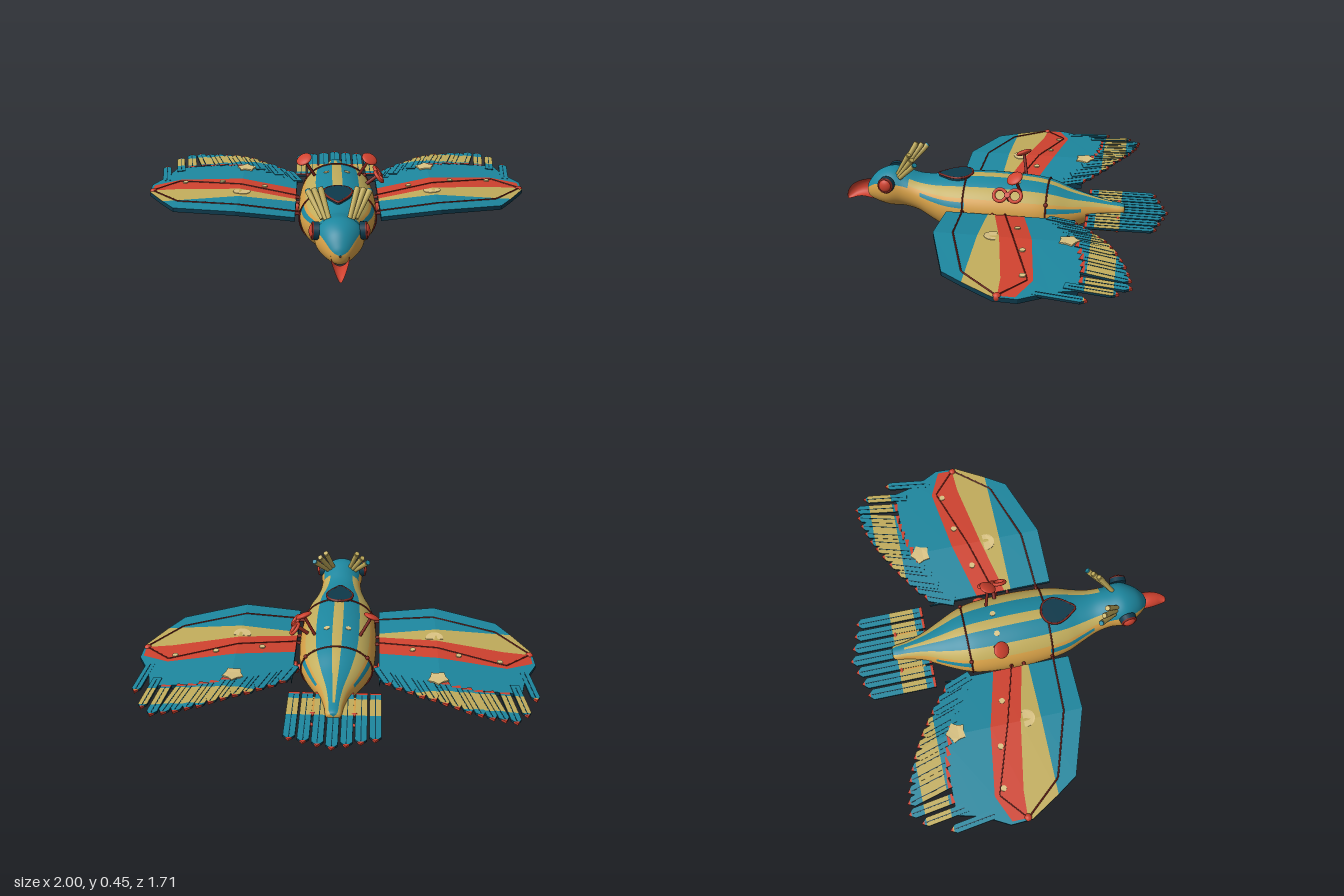
import * as THREE from 'three';

const mat = (name, color) => Object.assign(new THREE.MeshStandardMaterial({ color }), { name });
const TEAL = mat('teal paint', 0x1d879f), GOLD = mat('old gold paint', 0xc2ad5c), AMBER = mat('amber paint', 0xd6a047);
const RED = mat('red enamel', 0xd0422f), DARK = mat('dark red wire', 0x7d231c), NAVY = mat('dark glass', 0x0e3a4c);
const CREAM = mat('cream paint', 0xd9c282);

export function createModel() {
  const model = new THREE.Group();
  const V = (x, y, z) => new THREE.Vector3(x, y, z);
  const add = (name, geo, material, parent = model) => {
    const m = new THREE.Mesh(geo, material);
    m.name = name;
    parent.add(m);
    return m;
  };
  const cyl = (r1, r2, h, n = 20) => new THREE.CylinderGeometry(r1, r2, h, n);
  // group at p whose y axis points along dir
  const aimed = (name, p, dir) => {
    const g = new THREE.Group();
    g.name = name;
    g.position.copy(p);
    g.quaternion.setFromUnitVectors(V(0, 1, 0), dir.clone().normalize());
    model.add(g);
    return g;
  };
  const rod = (name, a, b, r, material, r2 = r) => {
    const g = aimed(name, a.clone().lerp(b, 0.5), b.clone().sub(a));
    return add(name, cyl(r2, r, a.distanceTo(b), 10), material, g);
  };
  const wire = (name, pts, r, closed = false) => {
    const path = new THREE.CurvePath();
    pts.forEach((p, i) => { if (i) path.add(new THREE.LineCurve3(pts[i - 1], p)); });
    const curve = closed ? new THREE.CatmullRomCurve3(pts, true) : path;
    return add(name, new THREE.TubeGeometry(curve, 64, r, 6, closed), DARK);
  };

  // elliptical loft along stations [z, top, bottom, halfWidth], paint(z, degrees) picks a material index
  function loft(stations, rows, cols, paint, mats) {
    const a = new THREE.CatmullRomCurve3(stations.map(s => V(s[0], s[1], s[2])), false, 'catmullrom');
    const b = new THREE.CatmullRomCurve3(stations.map(s => V(s[0], s[3], 0)), false, 'catmullrom');
    const pos = [], buckets = mats.map(() => []);
    for (let r = 0; r <= rows; r++) {
      const p = a.getPoint(r / rows), w = Math.max(b.getPoint(r / rows).y, 0.001);
      for (let c = 0; c < cols; c++) {
        const t = (c / cols) * Math.PI * 2;
        pos.push(w * Math.sin(t), (p.y + p.z) / 2 + (p.y - p.z) / 2 * Math.cos(t), p.x);
      }
      if (r === rows) break;
      for (let c = 0; c < cols; c++) {
        const i = r * cols + c, j = r * cols + (c + 1) % cols;
        buckets[paint(p.x, ((c + 0.5) / cols) * 360)].push(i, j, i + cols, j, j + cols, i + cols);
      }
    }
    const geo = new THREE.BufferGeometry();
    geo.setAttribute('position', new THREE.Float32BufferAttribute(pos, 3));
    geo.setIndex(buckets.flat());
    let start = 0;
    buckets.forEach((k, i) => { geo.addGroup(start, k.length, i); start += k.length; });
    geo.computeVertexNormals();
    return geo;
  }

  // striped body with head and tapering tail
  const bodyPaint = (z, deg) => {
    const d = deg > 180 ? 360 - deg : deg;
    if (deg > 155 && deg < 170 && z < 0.38 && z > -0.3) return 0;
    if (z > 0.5) return d < 65 ? 0 : 2;
    if (d < 7.5) return z < 0.2 && z > -0.56 ? 1 : 0;
    if (d < 33.75) return 0;
    if (d < 56.25) return 1;
    return d > 63 && d < 75 && ((z < 0.43 && z > 0.18) || (z < -0.22 && z > -0.4)) ? 0 : 2;
  };
  add('body', loft([
    [0.738, 0.215, 0.205, 0.004], [0.722, 0.252, 0.166, 0.04], [0.675, 0.308, 0.145, 0.08], [0.6, 0.337, 0.132, 0.115],
    [0.52, 0.323, 0.13, 0.108], [0.44, 0.302, 0.112, 0.118], [0.36, 0.302, 0.068, 0.145], [0.28, 0.314, 0.03, 0.175],
    [0.18, 0.324, 0.012, 0.192], [0.02, 0.328, 0.005, 0.2], [-0.16, 0.318, 0.012, 0.192], [-0.26, 0.3, 0.032, 0.17],
    [-0.36, 0.264, 0.068, 0.125], [-0.46, 0.238, 0.11, 0.075], [-0.55, 0.218, 0.14, 0.048], [-0.62, 0.205, 0.155, 0.036],
    [-0.63, 0.181, 0.179, 0.001]], 96, 96, bodyPaint, [TEAL, GOLD, AMBER]), [TEAL, GOLD, AMBER]);

  // hooped beak, rooted in the face
  add('beak', loft([[0.705, 0.262, 0.148, 0.042], [0.76, 0.25, 0.158, 0.041], [0.8, 0.235, 0.152, 0.033],
    [0.83, 0.212, 0.14, 0.022], [0.85, 0.18, 0.136, 0.011], [0.856, 0.15, 0.142, 0.001]], 24, 24, () => 0, [RED]), [RED]);

  // hoops round the body
  for (const [z, y, rx, ry] of [[0.19, 0.167, 0.196, 0.161], [-0.235, 0.166, 0.182, 0.145]]) {
    const pts = [];
    for (let i = 0; i < 24; i++) {
      const t = i / 24 * Math.PI * 2;
      pts.push(V(rx * Math.sin(t), y + ry * Math.cos(t), z));
    }
    wire('bodyHoop', pts, 0.004, true);
  }

  // keep the part of a polygon where f(point) >= 0
  const clip = (poly, f) => poly.flatMap((p, i) => {
    const q = poly[(i + 1) % poly.length], a = f(p), b = f(q), out = a >= 0 ? [p] : [];
    if (a * b < 0) out.push([p[0] + (q[0] - p[0]) * a / (a - b), p[1] + (q[1] - p[1]) * a / (a - b)]);
    return out;
  });
  // flat plate from an [x, z] outline, raised to the height rule, with its rim in a second material
  function plate(name, poly, material, thick, height, edge = material) {
    if (poly.length < 3) return;
    const shape = new THREE.Shape(poly.map(p => new THREE.Vector2(p[0], -p[1])));
    const geo = new THREE.ExtrudeGeometry(shape, { depth: thick, bevelEnabled: false }).rotateX(-Math.PI / 2);
    const p = geo.attributes.position;
    for (let i = 0; i < p.count; i++) p.setY(i, p.getY(i) - thick / 2 + height(p.getX(i)));
    geo.computeVertexNormals();
    add(name, geo, [material, edge]);
  }
  // pointed feather painted in bands across z
  function feather(name, base, tip, half, height, redBase) {
    const dx = tip[0] - base[0], dz = tip[1] - base[1], l = Math.hypot(dx, dz), ux = dx / l, uz = dz / l;
    const at = (u, v) => [base[0] + ux * u - uz * v, base[1] + uz * u + ux * v];
    const outline = [at(0, -half), at(l - 0.03, -half), at(l, 0), at(l - 0.03, half), at(0, half)];
    const end = tip[1] + 0.015, start = base[1] - 0.014;
    const bands = [[9, start, redBase ? RED : TEAL], [start, -0.485, TEAL], [-0.485, -0.61, GOLD], [-0.61, -9, TEAL]];
    for (const [z0, z1, m] of bands)
      plate(name, clip(clip(outline, p => z0 - p[1]), p => p[1] - Math.max(z1, end)), m, 0.012, height, NAVY);
    plate(name + 'Tip', clip(outline, p => end - p[1]), RED, 0.012, height);
    plate(name + 'Quill', [at(0.02, -0.002), at(l - 0.02, -0.002), at(l - 0.02, 0.002), at(0.02, 0.002)], NAVY, 0.015, height);
  }

  // tail fan
  for (let i = -3; i <= 3; i++)
    feather('tailFeather', [i * 0.066, -0.435], [i * 0.066, -0.852 + 0.02 * Math.abs(i)], 0.028, () => 0.17, true);

  const wingY = x => {
    const a = Math.abs(x);
    return a < 0.51 ? 0.192 + (a - 0.215) * 0.115 : 0.226 - (a - 0.51) * 0.068;
  };
  const circle = (x, z, r, n, inner = 1) => Array.from({ length: n }, (_, i) => {
    const t = i / n * Math.PI * 2, k = i % 2 ? r * inner : r;
    return [x + k * Math.sin(t), z - k * Math.cos(t)];
  });
  const wingPanels = [
    [TEAL, [[0.215, 0.265], [0.51, 0.265], [0.51, 0.05], [0.215, 0.05]]],
    [GOLD, [[0.215, 0.05], [0.51, 0.05], [0.51, -0.055], [0.215, 0.015]]],
    [RED, [[0.215, 0.015], [0.51, -0.055], [0.51, -0.21], [0.215, -0.135]]],
    [TEAL, [[0.215, -0.135], [0.51, -0.21], [0.51, -0.46], [0.225, -0.33], [0.215, -0.39]]],
    [TEAL, [[0.51, 0.265], [0.835, 0.155], [0.905, 0.05], [0.51, 0.05]]],
    [GOLD, [[0.51, 0.05], [0.905, 0.05], [0.995, -0.1], [0.985, -0.122], [0.85, -0.115], [0.51, -0.055]]],
    [RED, [[0.51, -0.055], [0.85, -0.115], [0.985, -0.122], [0.985, -0.2], [0.85, -0.26], [0.51, -0.21]]],
    [TEAL, [[0.51, -0.21], [0.85, -0.26], [0.985, -0.2], [0.985, -0.122], [0.995, -0.1], [1, -0.21], [0.93, -0.34], [0.9, -0.46], [0.51, -0.46]]],
  ];

  for (const s of [1, -1]) {
    const flip = poly => poly.map(([x, z]) => [s * x, z]);
    const raised = x => wingY(x) + 0.012;
    // wing panels and flight feathers
    for (const [m, poly] of wingPanels) plate('wingPanel', flip(poly), m, 0.022, wingY, NAVY);
    const tips = [[0.965, -0.505], [0.905, -0.635]];
    for (let i = 0; i < 12; i++) tips.push([0.85 - 0.58 * i / 11, -0.69 + 0.28 * Math.pow(i / 11, 1.7)]);
    tips.forEach(([x, z], i) => {
      const lean = i < 3 ? 0.035 : 0.06, len = 0.245 - 0.007 * i;
      feather('wingFeather', [s * (x - lean), z + len], [s * x, z], i < 2 ? 0.022 : 0.025, q => wingY(q) + 0.006 + 0.003 * (i % 2), i > 1 && i < 9);
    });
    // painted patches
    plate('starPatch', flip(circle(0.5, -0.385, 0.054, 10, 0.72)), CREAM, 0.008, q => wingY(q) + 0.014);
    plate('roundPatch', clip(flip(circle(0.5, -0.025, 0.045, 20)), p => p[1] + 0.04), CREAM, 0.004, raised);
    for (const [x, z] of [[0.82, -0.208], [0.615, -0.18], [0.385, -0.125]])
      plate('wingStud', flip(circle(x, z, 0.015, 10)), CREAM, 0.009, raised);
    // bracing wires, hinges and tip lamp
    const w = (x, z) => V(s * x, wingY(x) + 0.013, z);
    wire('frontWire', [w(0.2, 0.185), w(0.5, 0.17), w(0.825, 0.065), w(0.985, -0.12)], 0.004);
    wire('rearWire', [w(0.2, -0.035), w(0.51, -0.122), w(0.85, -0.235), w(0.985, -0.12)], 0.003);
    add('tipLamp', new THREE.SphereGeometry(0.02, 16, 12), RED).position.set(s * 0.98, 0.197, -0.12);
    for (const z of [0.185, 0.03, -0.035]) rod('wingHinge', V(s * 0.17, 0.19, z), V(s * 0.235, 0.195, z), 0.009, DARK);

    // eyes in dark sockets
    const eye = aimed('eye', V(s * 0.118, 0.28, 0.605), V(s, 0.1, 0.1));
    add('eyeSocket', cyl(0.041, 0.044, 0.026, 24), NAVY, eye).position.y = -0.008;
    add('eyeRim', new THREE.TorusGeometry(0.036, 0.006, 8, 24).rotateX(Math.PI / 2), DARK, eye).position.y = 0.006;
    add('eyeBall', new THREE.SphereGeometry(0.034, 24, 14).scale(1, 0.55, 1), RED, eye).position.y = 0.005;
    // crest rods
    for (let i = 0; i < 3; i++) {
      const a = V(s * (0.045 + 0.017 * i), 0.31, 0.56 - 0.012 * i), b = V(s * (0.085 + 0.03 * i), 0.44 - 0.014 * i, 0.485 - 0.022 * i);
      rod('crestRod', a, b, 0.011, GOLD, 0.015);
      rod('crestTip', b, b.clone().add(b.clone().sub(a).multiplyScalar(0.05)), 0.013, i === 2 ? TEAL : GOLD);
    }
    // top knobs
    const dir = V(s * 0.38, 0.85, 0.38).normalize(), top = V(s * 0.172, 0.39, -0.08);
    rod('knobStem', V(s * 0.11, 0.28, -0.105), top, 0.008, DARK);
    const knob = aimed('topKnob', top, dir);
    add('knobDisc', new THREE.SphereGeometry(0.043, 20, 12).scale(1, 0.32, 1), RED, knob);
    // side dials
    const dial = aimed('sideDial', V(s * 0.205, 0.105, -0.13), V(s, -0.12, 0));
    add('dialStem', cyl(0.014, 0.02, 0.06), RED, dial).position.y = -0.025;
    add('dialRim', cyl(0.031, 0.03, 0.02, 24), RED, dial).position.y = 0.01;
    add('dialFace', cyl(0.03, 0.03, 0.005, 24), CREAM, dial).position.y = 0.021;
    add('dialCentre', cyl(0.012, 0.012, 0.006), NAVY, dial).position.y = 0.024;
    // exhausts below the tail
    const pipe = aimed('exhaust', V(s * 0.1, 0.138, -0.53), V(0, 0, -1));
    add('pipe', cyl(0.036, 0.036, 0.12, 24), AMBER, pipe);
    add('pipeNose', cyl(0.037, 0.02, 0.035, 24), NAVY, pipe).position.y = -0.06;
    add('pipeRing', new THREE.TorusGeometry(0.032, 0.009, 10, 24).rotateX(Math.PI / 2), RED, pipe).position.y = 0.068;
    add('pipeMouth', cyl(0.03, 0.03, 0.008, 24), NAVY, pipe).position.y = 0.062;
    // back spots and hoop rivets
    const spot = aimed('backSpot', V(s * 0.055, 0.317, -0.08), V(s * 0.24, 1, -0.05));
    add('backSpot', cyl(0.016, 0.016, 0.006, 6), CREAM, spot);
    add('hoopRivet', new THREE.SphereGeometry(0.011, 10, 8), DARK).position.set(s * 0.155, 0.245, -0.235);
  }

  // wind-up key on the left flank
  rod('keyStem', V(0.14, 0.25, -0.05), V(0.21, 0.305, -0.05), 0.01, DARK);
  const key = aimed('windUpKey', V(0.218, 0.315, -0.05), V(0.78, 0.62, 0));
  for (const k of [-1, 1])
    add('keyLoop', new THREE.TorusGeometry(0.031, 0.009, 10, 24).rotateX(Math.PI / 2), RED, key).position.z = k * 0.038;
  add('keyHub', cyl(0.015, 0.015, 0.03), RED, key);

  // teardrop canopy with rim
  const drop = [[0, 0.345], [0.03, 0.315], [0.062, 0.265], [0.07, 0.225], [0.052, 0.185], [0, 0.165],
    [-0.052, 0.185], [-0.07, 0.225], [-0.062, 0.265], [-0.03, 0.315]].map(([x, z]) => V(x, 0.345 - 0.08 * z, z));
  const rim = new THREE.CatmullRomCurve3(drop, true);
  wire('canopyRim', drop, 0.006, true);
  const glass = new THREE.ExtrudeGeometry(new THREE.Shape(rim.getPoints(40).map(p => new THREE.Vector2(p.x, -p.z))),
    { depth: 0.02, bevelEnabled: false }).rotateX(-Math.PI / 2);
  const gp = glass.attributes.position;
  for (let i = 0; i < gp.count; i++) gp.setY(i, gp.getY(i) + 0.329 - 0.08 * gp.getZ(i));
  glass.computeVertexNormals();
  add('canopyGlass', glass, NAVY);

  return model;
}
